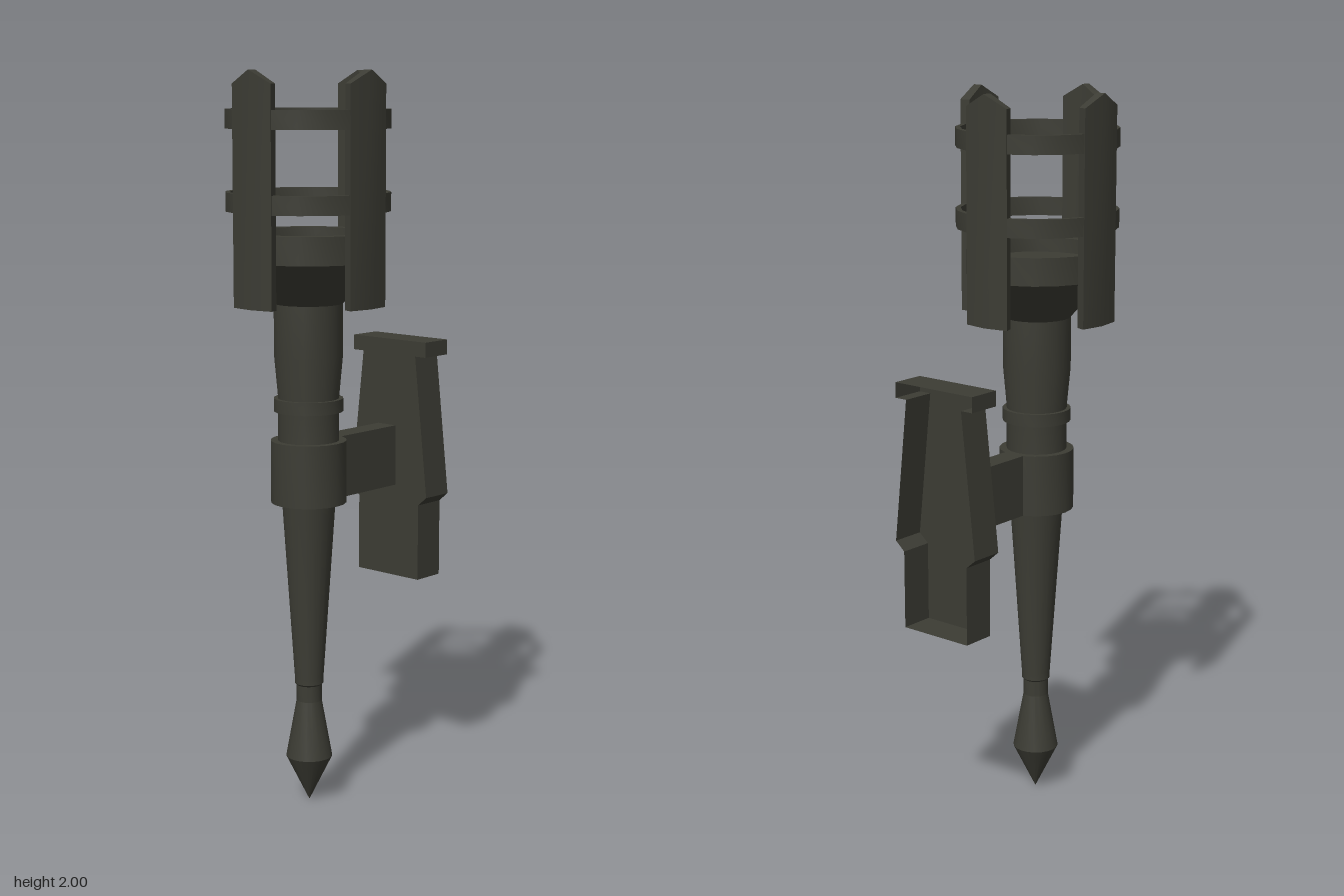
import * as THREE from 'three';
import { toCreasedNormals } from 'three/addons/utils/BufferGeometryUtils.js';

const SIDES = 20;
const AXIS_Z = 0.102;

export function createModel() {
  const iron = new THREE.MeshStandardMaterial({ color: 0x3c3c34 });
  iron.name = 'dark iron';
  const ironSheet = new THREE.MeshStandardMaterial({ color: 0x3c3c34, side: THREE.DoubleSide });
  ironSheet.name = 'dark iron sheet';

  const model = new THREE.Group();
  model.name = 'wallTorch';
  const torch = new THREE.Group();
  torch.name = 'torch';
  torch.position.z = AXIS_Z;
  model.add(torch);

  const add = (parent, name, geometry, material = iron) => {
    const mesh = new THREE.Mesh(geometry, material);
    mesh.name = name;
    parent.add(mesh);
    return mesh;
  };
  // turned part with sharp profile edges, points are [radius, y] from the bottom up
  const turned = (name, points) => add(torch, name, toCreasedNormals(
    new THREE.LatheGeometry(points.map(([r, y]) => new THREE.Vector2(r, y)), SIDES), 0.4));
  const hoop = (name, inner, outer, y0, y1) => turned(name,
    [[inner, y0], [outer, y0], [outer, y1], [inner, y1], [inner, y0]]);

  // pointed foot and tapering handle
  turned('footTip', [[0, 0], [0.064, 0.13], [0.035, 0.29]]);
  turned('lowerShaft', [[0.035, 0.29], [0.035, 0.335], [0.04, 0.34], [0.04, 0.36], [0.073, 0.85]]);
  turned('upperShaft', [[0.083, 1.02], [0.083, 1.14], [0.093, 1.25], [0.093, 1.39]]);
  hoop('shaftBand', 0.08, 0.094, 1.1, 1.135);
  turned('collar', [[0.07, 0.85], [0.103, 0.85], [0.103, 1.02], [0.08, 1.02]]);

  // flared cup with a sunken floor
  turned('cup', [[0.093, 1.39], [0.192, 1.505], [0.192, 1.58], [0.161, 1.58], [0.161, 1.54], [0, 1.54]]);

  // cage hoops
  hoop('lowerHoop', 0.206, 0.22, 1.635, 1.685);
  hoop('upperHoop', 0.206, 0.22, 1.85, 1.9);

  // curved cage prongs with peaked tops, bent from a box
  const bent = new THREE.BoxGeometry(2, 2, 2, 2, 1, 1);
  const p = bent.attributes.position;
  for (let i = 0; i < p.count; i++) {
    const a = p.getX(i) * Math.PI / 10;
    const r = p.getZ(i) > 0 ? 0.222 : 0.195;
    const y = p.getY(i) > 0 ? 2 - 0.035 * Math.abs(p.getX(i)) : 1.39;
    p.setXYZ(i, Math.sin(a) * r, y, Math.cos(a) * r);
  }
  const prong = toCreasedNormals(bent, 0.4);
  for (let i = 0; i < 4; i++) add(torch, 'cageProng', prong).rotation.y = i * Math.PI / 2;

  // arm from the collar towards the wall plate
  const arm = add(model, 'bracketArm', new THREE.BoxGeometry(0.064, 0.17, 0.263));
  arm.position.set(0, 0.935, -0.0915);

  // wall plate: a hollow shell, open at the back
  const half = [[0.11, 0.585], [0.11, 0.8], [0.139, 0.825], [0.095, 1.22], [0.132, 1.22], [0.132, 1.262]];
  const outline = [...half, ...half.map(([x, y]) => [-x, y]).reverse()];
  const front = -0.23, back = -0.325;
  const plate = new THREE.Group();
  plate.name = 'wallPlate';
  model.add(plate);
  const face = add(plate, 'plateFace', new THREE.ShapeGeometry(
    new THREE.Shape(outline.map(([x, y]) => new THREE.Vector2(x, y)))), ironSheet);
  face.position.z = front;

  const walls = [];
  outline.forEach(([x0, y0], i) => {
    const [x1, y1] = outline[(i + 1) % outline.length];
    walls.push(x0, y0, front, x0, y0, back, x1, y1, back, x0, y0, front, x1, y1, back, x1, y1, front);
  });
  const rim = new THREE.BufferGeometry();
  rim.setAttribute('position', new THREE.Float32BufferAttribute(walls, 3));
  rim.computeVertexNormals();
  add(plate, 'plateRim', rim, ironSheet);

  return model;
}
